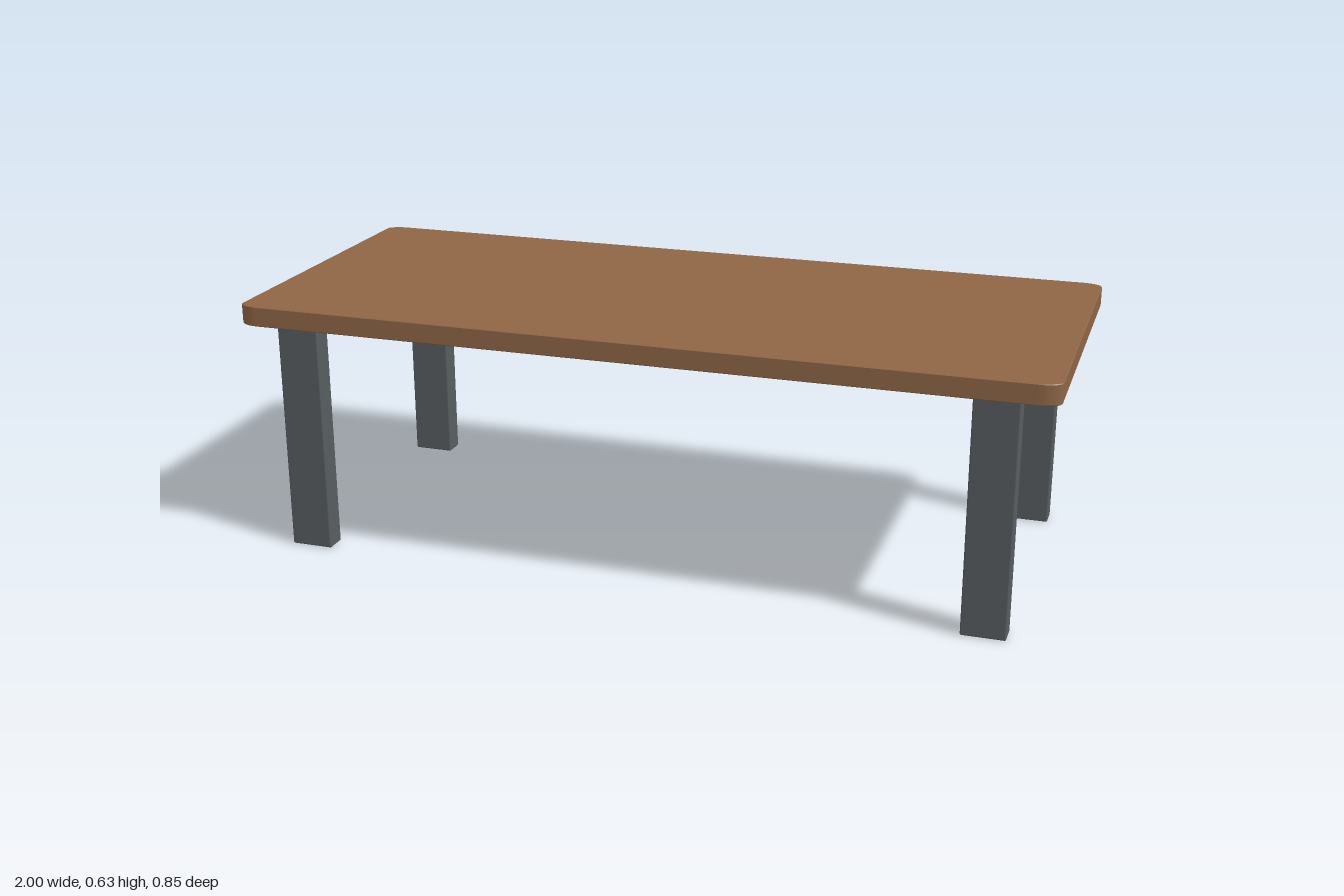
import * as THREE from 'three';
import { RoundedBoxGeometry } from 'three/addons/geometries/RoundedBoxGeometry.js';

const wood = new THREE.MeshStandardMaterial({ color: 0x8f6646 });
wood.name = 'brown wood';
const metal = new THREE.MeshStandardMaterial({ color: 0x575d61 });
metal.name = 'dark grey metal';

// Rectangle with elliptical corners, centred on the origin
function roundedRect(w, d, rx, rz) {
  const s = new THREE.Shape();
  const x = w / 2, z = d / 2;
  s.moveTo(-x + rx, -z);
  s.lineTo(x - rx, -z);
  s.absellipse(x - rx, -z + rz, rx, rz, -Math.PI / 2, 0);
  s.lineTo(x, z - rz);
  s.absellipse(x - rx, z - rz, rx, rz, 0, Math.PI / 2);
  s.lineTo(-x + rx, z);
  s.absellipse(-x + rx, z - rz, rx, rz, Math.PI / 2, Math.PI);
  s.lineTo(-x, -z + rz);
  s.absellipse(-x + rx, -z + rz, rx, rz, Math.PI, Math.PI * 1.5);
  return s;
}

export function createModel() {
  const table = new THREE.Group();
  table.name = 'table';

  // Table top: slab with rounded corners and a hairline bevel
  const bevel = 0.002, thickness = 0.05, underside = 0.585;
  const slab = new THREE.ExtrudeGeometry(
    roundedRect(2 - 2 * bevel, 0.848 - 2 * bevel, 0.05, 0.025),
    {
      depth: thickness - 2 * bevel, curveSegments: 6,
      bevelEnabled: true, bevelThickness: bevel, bevelSize: bevel, bevelSegments: 1,
    }
  );
  slab.rotateX(-Math.PI / 2);
  const top = new THREE.Mesh(slab, wood);
  top.name = 'tableTop';
  top.position.y = underside + bevel;
  table.add(top);

  // Four rectangular legs with slightly softened edges
  const legGeometry = new RoundedBoxGeometry(0.107, underside, 0.055, 2, 0.004);
  for (const [side, sx] of [['Left', 1], ['Right', -1]]) {
    for (const [end, sz] of [['front', 1], ['back', -1]]) {
      const leg = new THREE.Mesh(legGeometry, metal);
      leg.name = `${end}${side}Leg`;
      leg.position.set(sx * 0.858, underside / 2, sz * 0.365);
      table.add(leg);
    }
  }
  return table;
}
